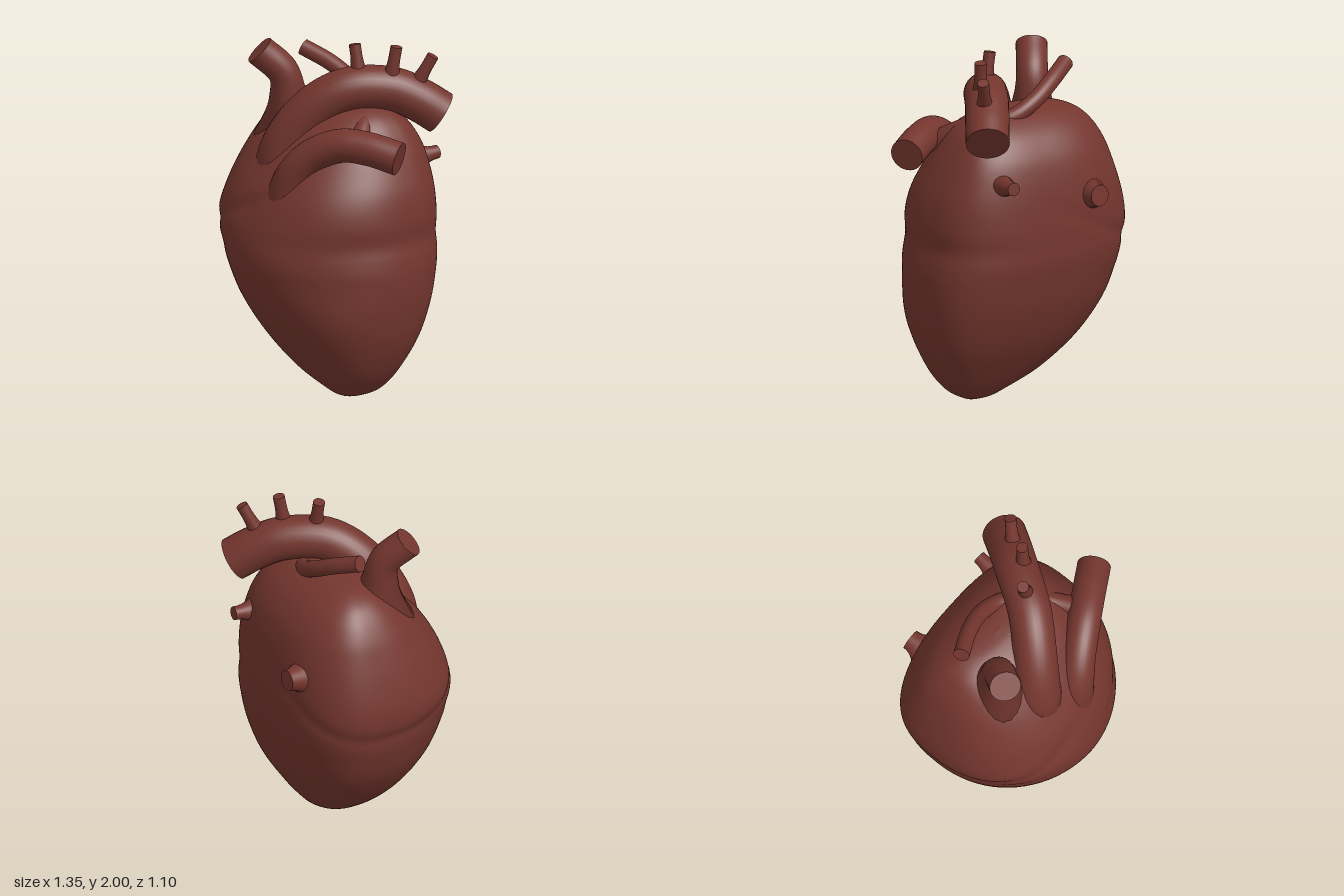
import * as THREE from 'three';

const muscle = new THREE.MeshStandardMaterial({ color: 0x74362e });
muscle.name = 'muscle red';

const V = (p) => new THREE.Vector3(...p);
const step = THREE.MathUtils.smoothstep;

// Body cross-sections: y, right edge, left edge, front edge, back edge
const rows = [
  [0, 0.19, 0.19, 0, 0],
  [0.02, 0.11, 0.27, 0.08, -0.1],
  [0.07, 0.0, 0.35, 0.15, -0.165],
  [0.175, -0.21, 0.435, 0.245, -0.245],
  [0.35, -0.41, 0.515, 0.365, -0.355],
  [0.55, -0.555, 0.563, 0.468, -0.438],
  [0.73, -0.625, 0.578, 0.53, -0.485],
  [0.84, -0.652, 0.57, 0.545, -0.505],
  [0.94, -0.673, 0.553, 0.535, -0.508],
  [1.05, -0.67, 0.558, 0.505, -0.508],
  [1.2, -0.635, 0.535, 0.445, -0.497],
  [1.34, -0.59, 0.485, 0.36, -0.475],
  [1.45, -0.545, 0.435, 0.275, -0.44],
  [1.55, -0.48, 0.375, 0.18, -0.375],
  [1.62, -0.4, 0.295, 0.08, -0.29],
  [1.66, -0.28, 0.17, -0.02, -0.2],
  [1.67, -0.08, -0.08, -0.1, -0.1],
];

// Squareness of each quarter of a cross-section at height y
function squareness(y, left, front) {
  if (front && left) return 2.3 - 0.4 * step(y, 0.4, 0.75) + 0.25 * step(y, 0.85, 1.15);
  if (front) return 1.98 + 0.37 * step(y, 0.8, 1.05);
  if (left) return 3.05 - 0.15 * step(y, 0.3, 0.8);
  return 2.8 - 0.45 * step(y, 1.1, 1.5);
}

function heartBody() {
  const curve = (a, b) => new THREE.CatmullRomCurve3(
    rows.map((r) => new THREE.Vector3(r[0], r[a], r[b])), false, 'catmullrom');
  const xs = curve(1, 2), zs = curve(3, 4);
  const rings = 96, sides = 80, pos = [], index = [];
  const bend = (v, n) => Math.sign(v) * Math.abs(v) ** (2 / n);
  for (let i = 0; i <= rings; i++) {
    const a = xs.getPoint(i / rings), b = zs.getPoint(i / rings);
    const y = a.x, cx = (a.y + a.z) / 2, rx = (a.z - a.y) / 2;
    const cz = b.y * 0.42 + b.z * 0.58;
    for (let j = 0; j < sides; j++) {
      const t = (j / sides) * Math.PI * 2, c = Math.cos(t), s = Math.sin(t);
      const n = squareness(y, c > 0, s > 0);
      let x = cx + rx * bend(c, n);
      let z = cz + (s > 0 ? b.y - cz : cz - b.z) * bend(s, n);
      // Groove between the upper and lower chambers on the right
      const d = (y - 1.17 - 0.45 * x) / 0.045;
      const k = 1 - 0.018 * Math.exp(-d * d) * (1 - step(x, -0.2, 0.1));
      x = cx + (x - cx) * k;
      z = cz + (z - cz) * k;
      pos.push(x, y, z);
      if (i < rings) {
        const p = i * sides + j, q = i * sides + ((j + 1) % sides);
        index.push(p, p + sides, q, q, p + sides, q + sides);
      }
    }
  }
  const g = new THREE.BufferGeometry();
  g.setAttribute('position', new THREE.Float32BufferAttribute(pos, 3));
  g.setIndex(index);
  g.computeVertexNormals();
  const mesh = new THREE.Mesh(g, muscle);
  mesh.name = 'heartBody';
  return mesh;
}

// Round vessel along a path, flared at its root and capped at its end
function vessel(name, points, radius, flare = 0, flareLength = 0.3) {
  const curve = new THREE.CatmullRomCurve3(points.map(V));
  const seg = points.length > 2 ? 40 : 12, sides = 28;
  const g = new THREE.TubeGeometry(curve, seg, 1, sides);
  const p = g.attributes.position, v = new THREE.Vector3();
  for (let i = 0; i <= seg; i++) {
    const c = curve.getPointAt(i / seg);
    const f = Math.max(0, 1 - i / seg / flareLength);
    const r = radius + flare * f * f;
    for (let j = 0; j <= sides; j++) {
      const k = i * (sides + 1) + j;
      v.fromBufferAttribute(p, k).sub(c).multiplyScalar(r).add(c);
      p.setXYZ(k, v.x, v.y, v.z);
    }
  }
  const group = new THREE.Group();
  group.name = name;
  const wall = new THREE.Mesh(g, muscle);
  wall.name = name + 'Wall';
  const cap = new THREE.Mesh(new THREE.CircleGeometry(radius, sides), muscle);
  cap.name = name + 'End';
  cap.position.copy(curve.getPointAt(1));
  cap.quaternion.setFromUnitVectors(new THREE.Vector3(0, 0, 1), curve.getTangentAt(1));
  group.add(wall, cap);
  return group;
}

export function createModel() {
  const heart = new THREE.Group();
  heart.name = 'heart';
  heart.add(heartBody());

  // Great arch over the top
  heart.add(vessel('aorta', [
    [-0.14, 1.1, 0.22], [-0.125, 1.38, 0.225], [-0.03, 1.6, 0.13], [0.11, 1.735, -0.03],
    [0.25, 1.735, -0.24], [0.34, 1.665, -0.37], [0.405, 1.59, -0.465],
  ], 0.122, 0.045, 0.45));

  // Front vessel sweeping to the left
  heart.add(vessel('pulmonaryArtery', [
    [0.03, 0.98, 0.31], [0.045, 1.15, 0.335], [0.1, 1.32, 0.32], [0.19, 1.43, 0.265],
    [0.33, 1.5, 0.18], [0.47, 1.495, 0.095], [0.62, 1.455, 0.005],
  ], 0.094, 0.06, 0.5));

  // Thin branch passing under the arch
  heart.add(vessel('rightPulmonaryBranch', [
    [0.36, 1.47, 0.09], [0.26, 1.57, -0.04], [0.17, 1.6, -0.15], [0.05, 1.64, -0.22],
    [-0.08, 1.71, -0.23], [-0.22, 1.79, -0.19], [-0.37, 1.86, -0.115],
  ], 0.046, 0.02));

  // Upper vein on the right
  heart.add(vessel('upperVein', [
    [-0.27, 1.42, 0.05], [-0.275, 1.62, 0.065], [-0.29, 1.77, 0.09], [-0.365, 1.9, 0.2],
  ], 0.088, 0.13, 0.65));

  // Three branches on the arch
  [
    [[0.16, 1.78, -0.09], [0.12, 1.99, -0.085]],
    [[0.27, 1.76, -0.21], [0.295, 1.985, -0.24]],
    [[0.325, 1.72, -0.33], [0.4, 1.925, -0.415]],
  ].forEach((path, i) => heart.add(vessel('archBranch' + (i + 1), path, 0.033, 0.035, 0.75)));

  // Vein stubs on the back
  heart.add(vessel('backVeinLeft', [[0.27, 1.315, -0.41], [0.28, 1.325, -0.54]], 0.038, 0.04, 0.9));
  heart.add(vessel('backVeinRight', [[-0.295, 1.19, -0.43], [-0.3, 1.2, -0.545]], 0.06, 0.07, 0.95));

  return heart;
}
